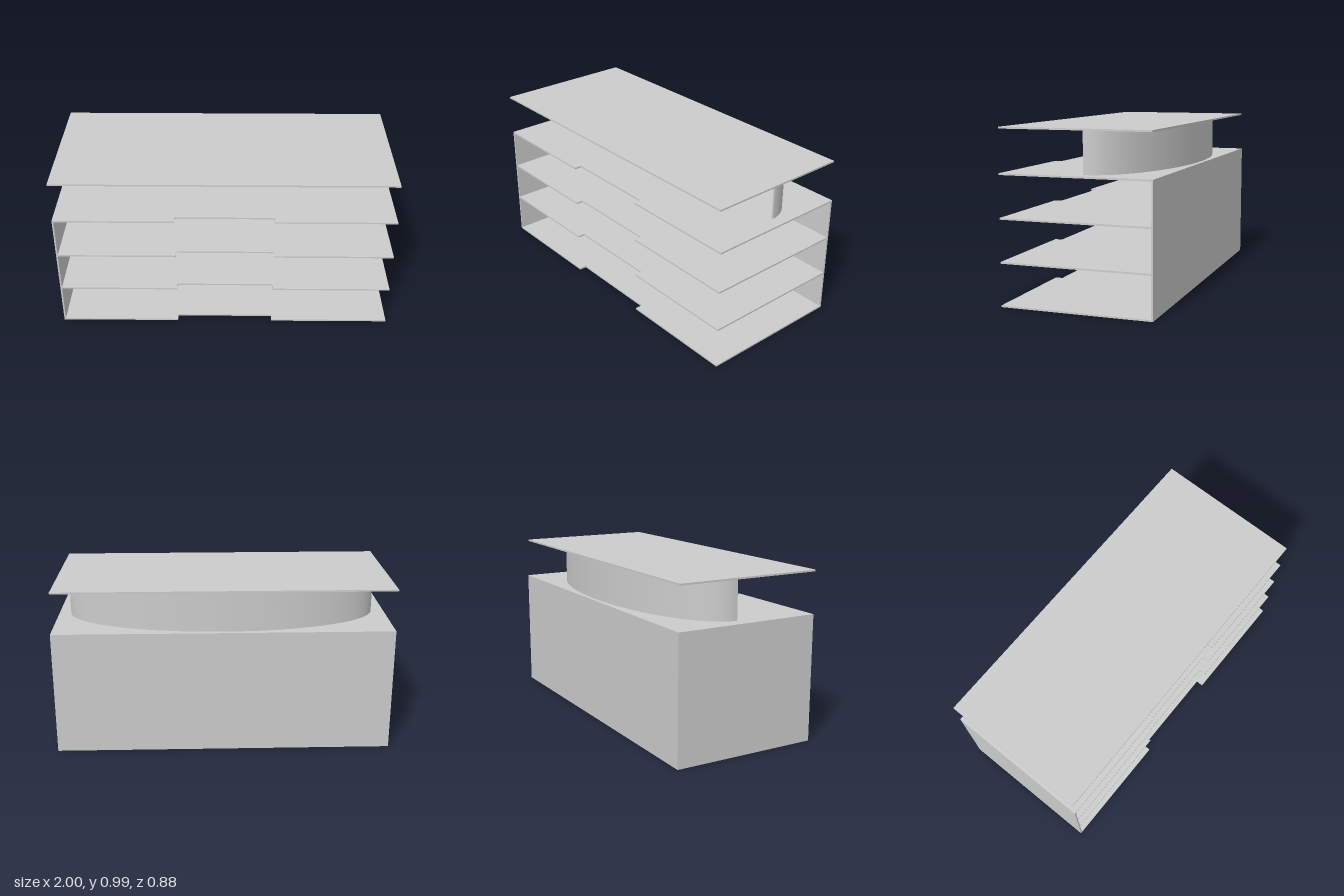
import * as THREE from 'three';
import { toCreasedNormals } from 'three/addons/utils/BufferGeometryUtils.js';

const T = 0.01; // board thickness
const BODY_H = 0.743;
const HALF_D = 0.44;

export function createModel() {
  const model = new THREE.Group();
  model.name = 'shelfUnit';
  const grey = new THREE.MeshStandardMaterial({ color: 0xcccccc });

  const add = (name, geometry, x = 0, y = 0, z = 0) => {
    const mesh = new THREE.Mesh(geometry, grey);
    mesh.name = name;
    mesh.position.set(x, y, z);
    model.add(mesh);
  };

  // Turns a plan outline (x, -z) into an upright slab standing on y = 0
  const slab = (shape, height) =>
    new THREE.ExtrudeGeometry(shape, { depth: height, bevelEnabled: false }).rotateX(-Math.PI / 2);

  // Four shelves with a shallow notch in the middle of the front edge
  const notch = 0.29, notchDepth = 0.044;
  const outline = [
    [-1 + T, -HALF_D], [-notch, -HALF_D], [-notch, -HALF_D + notchDepth],
    [notch, -HALF_D + notchDepth], [notch, -HALF_D], [1, -HALF_D],
    [1, HALF_D - T], [-1 + T, HALF_D - T],
  ].map(([x, y]) => new THREE.Vector2(x, y));
  const shelf = slab(new THREE.Shape(outline), T);
  for (let i = 0; i < 4; i++) add(`shelf${i + 1}`, shelf, 0, (i * (BODY_H - T)) / 3, 0);

  // Closed side and back; the other side and the front stay open
  add('sidePanel', new THREE.BoxGeometry(T, BODY_H, 2 * HALF_D), -1 + T / 2, BODY_H / 2, 0);
  add('backPanel', new THREE.BoxGeometry(2 - T, BODY_H, T), T / 2, BODY_H / 2, -HALF_D + T / 2);

  // Half-ellipse wall, hollow towards the front, carrying the top
  const rx = 0.927, rz = 0.39, wallH = 0.24;
  const arc = new THREE.Shape();
  arc.moveTo(rx, 0);
  arc.absellipse(0, 0, rx, rz, 0, Math.PI, false);
  arc.lineTo(-rx + T, 0);
  arc.absellipse(0, 0, rx - T, rz - T, Math.PI, 0, true);
  const wall = new THREE.ExtrudeGeometry(arc, { depth: wallH, bevelEnabled: false, curveSegments: 48 });
  wall.rotateX(-Math.PI / 2);
  add('curvedWall', toCreasedNormals(wall, 0.6), 0.002, BODY_H, -0.024);

  // Plain top board, set slightly towards the front and the closed side
  add('topBoard', new THREE.BoxGeometry(1.99, T, 0.875), -0.005, BODY_H + wallH + T / 2, 0.005);

  return model;
}
